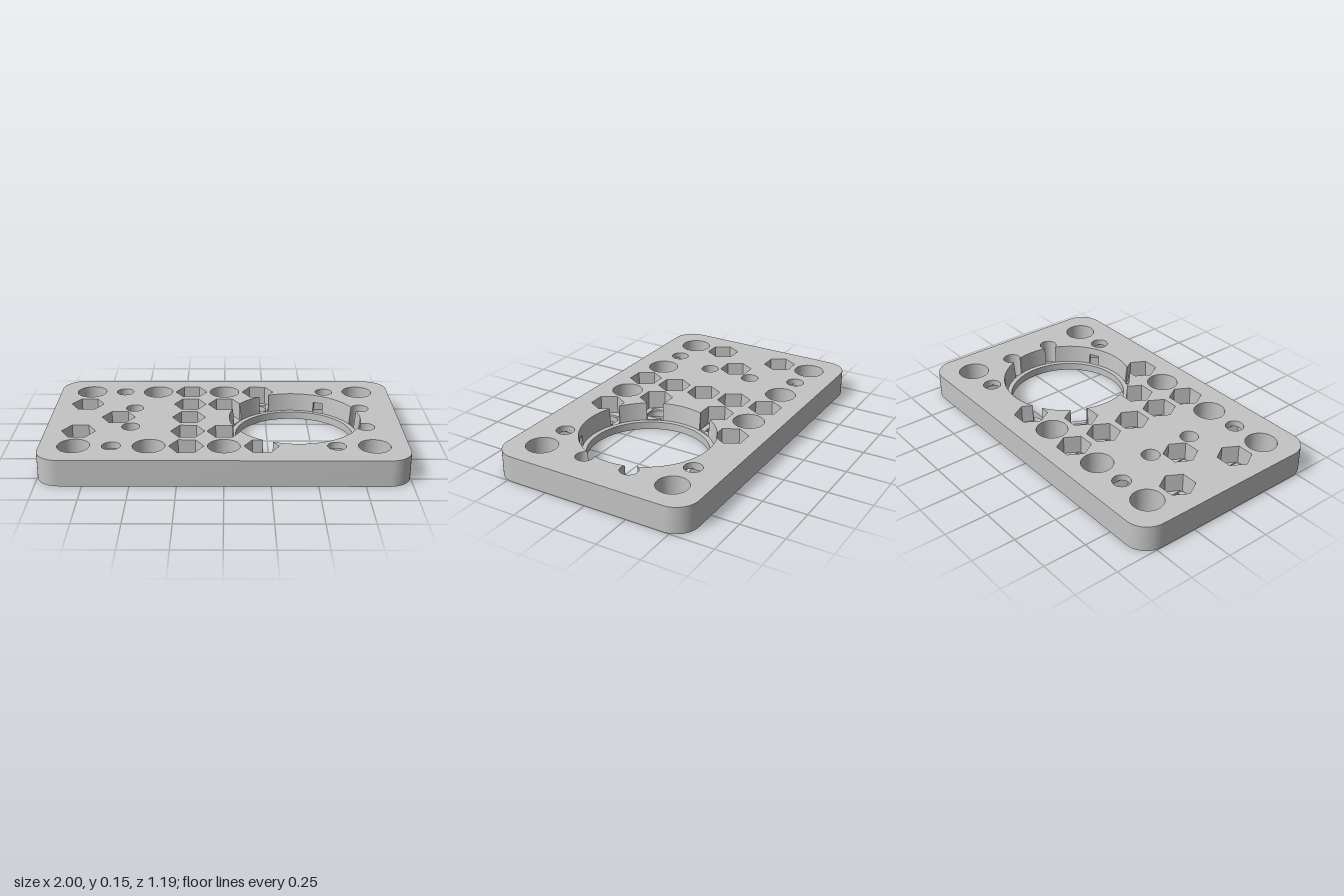
import * as THREE from 'three';
import { mergeGeometries, toCreasedNormals } from 'three/addons/utils/BufferGeometryUtils.js';

const P = 0.203;                       // hole pitch
const TOP = 0.15, FLOOR = 0.045, CEIL = 0.105;
const HALF_Z = 0.593, CORNER = 0.127;
const BORE = [2 * P, 0], R_TOP = 0.377, R_FLOOR = 0.367, R_THROUGH = 0.34;
const HOLE_R = 0.051, BIG_R = 0.088, HEX_R = 0.095, SLOT = 0.052;

// Outlines: counter-clockwise lists of [x, z]
const ngon = ([cx, cz], r, n) => Array.from({ length: n }, (_, i) => {
  const a = (i / n) * Math.PI * 2;
  return [cx + r * Math.cos(a), cz + r * Math.sin(a)];
});
const circle = (c, r = HOLE_R) => ngon(c, r, 48);
const hex = (c) => ngon(c, HEX_R, 6);
const place = ([cx, cz], pts) => pts.map(([x, z]) => [cx + x, cz + z]);
const square = (c) => place(c, [[SLOT, -SLOT], [SLOT, SLOT], [-SLOT, SLOT], [-SLOT, -SLOT]]);
// Hexagon with its two points cut off
const slot = (c) => {
  const h = HEX_R * 0.855, e = 0.073, k = HEX_R / 2 - 0.001;
  return place(c, [[SLOT, -e], [SLOT, e], [k, h], [-k, h], [-SLOT, e], [-SLOT, -e], [-k, -h], [k, -h]]);
};

const boreDist = ([x, z]) => Math.hypot(x - BORE[0], z - BORE[1]);
const inside = ([x, z], poly) => poly.every((a, i) => {
  const b = poly[(i + 1) % poly.length];
  return (b[0] - a[0]) * (z - a[1]) - (b[1] - a[1]) * (x - a[0]) >= 0;
});
const densify = (poly, n) => poly.flatMap((a, i) => {
  const b = poly[(i + 1) % poly.length];
  return Array.from({ length: n }, (_, j) =>
    [a[0] + (b[0] - a[0]) * j / n, a[1] + (b[1] - a[1]) * j / n]);
});

// Union of the bore circle with the convex pockets that break into it
function boreUnion(pockets) {
  const ring = ngon(BORE, R_TOP, 720), out = [];
  const hit = ring.map((p) => pockets.findIndex((q) => inside(p, q)));
  const start = hit.indexOf(-1);
  for (let i = 0; i < ring.length; i++) {
    const k = (start + i) % ring.length, prev = hit[(k + ring.length - 1) % ring.length];
    if (hit[k] < 0) {
      if (k % 4 === 0 || prev >= 0 || hit[(k + 1) % ring.length] >= 0) out.push(ring[k]);
    } else if (prev !== hit[k]) {
      const q = densify(pockets[hit[k]], pockets[hit[k]].length > 6 ? 2 : 40);
      const far = q.map((p) => boreDist(p) > R_TOP + 1e-4);
      const s = far.findIndex((f, j) => f && !far[(j + q.length - 1) % q.length]);
      for (let j = 0; j < q.length && far[(s + j) % q.length]; j++) out.push(q[(s + j) % q.length]);
    }
  }
  return out;
}

// The upper bore narrows slightly towards its floor
function taper(p, y) {
  const d = boreDist(p);
  if (Math.abs(d - R_TOP) > 1e-5) return p;
  const f = (R_FLOOR + (R_TOP - R_FLOOR) * (y - FLOOR) / (TOP - FLOOR)) / d;
  return [BORE[0] + (p[0] - BORE[0]) * f, BORE[1] + (p[1] - BORE[1]) * f];
}

// Vertical wall facing into its outline
function wall(outline, y0, y1, map = (p) => p) {
  const v = [];
  outline.forEach((a, i) => {
    const b = outline[(i + 1) % outline.length];
    const at = (p, y) => { const m = map(p, y); return [m[0], y, m[1]]; };
    const a0 = at(a, y0), b0 = at(b, y0), a1 = at(a, y1), b1 = at(b, y1);
    v.push(...a0, ...b0, ...b1, ...a0, ...b1, ...a1);
  });
  const g = new THREE.BufferGeometry();
  g.setAttribute('position', new THREE.Float32BufferAttribute(v, 3));
  return toCreasedNormals(g, 0.5);
}

// Flat horizontal face with holes, facing up or down
function face(outline, holes, y, up) {
  const s = up ? -1 : 1;
  const vec = (o) => o.map(([x, z]) => new THREE.Vector2(x, z * s));
  const shape = new THREE.Shape(vec(outline));
  shape.holes = holes.map((h) => new THREE.Path(vec(h)));
  const g = new THREE.ShapeGeometry(shape).toNonIndexed();
  g.deleteAttribute('uv');
  return g.rotateX(s * Math.PI / 2).translate(0, y, 0);
}

// Stepped floor from hexagon to slot to square to round hole
function nutSeat(c, y, dir) {
  const levels = [hex(c), slot(c), square(c), circle(c)], parts = [];
  for (let i = 0; i < 3; i++) {
    const h = y - dir * i * 0.005, next = h - dir * 0.005;
    parts.push(face(levels[i], [levels[i + 1]], h, dir > 0));
    if (i < 2) parts.push(wall(levels[i + 1], Math.min(h, next), Math.max(h, next)));
  }
  const end = y - dir * 0.01;
  parts.push(dir > 0 ? wall(levels[3], 0, end) : wall(levels[3], end, TOP));
  return parts;
}

export function createModel() {
  const group = new THREE.Group();
  const grey = new THREE.MeshStandardMaterial({ color: 0xc4c4c4 });
  grey.name = 'plate grey';
  const add = (name, parts) => {
    const mesh = new THREE.Mesh(mergeGeometries(parts), grey);
    mesh.name = name;
    group.add(mesh);
  };
  const grid = (list) => list.map(([x, z]) => [x * P, z * P]);

  // Hole layout
  const big = grid([-4, -2, 0, 4].flatMap((x) => [[x, -2], [x, 2]]));
  const topNutsFree = grid([[-4, -1], [-4, 1], [-3, 0], ...[-2, -1, 0, 1, 2].map((z) => [-1, z])]);
  const topNutsBore = grid([[0, -1], [0, 1], [1, -2], [1, 2]]);
  const lowNutsFree = grid([[-3, -2], [-3, 2]]);
  const lowNutsBore = grid([[3, -2], [3, 2]]);
  const plainFree = [[-0.527, -0.139], [-0.527, 0.139]];
  const plainBore = [[0.797, -0.139], [0.797, 0.139]];
  const topNuts = [...topNutsFree, ...topNutsBore], lowNuts = [...lowNutsFree, ...lowNutsBore];

  // Rounded rectangle
  const outline = [[1, 1], [-1, 1], [-1, -1], [1, -1]].flatMap(([sx, sz], q) =>
    Array.from({ length: 13 }, (_, i) => {
      const a = (q + i / 12) * Math.PI / 2;
      return [sx * (1 - CORNER) + CORNER * Math.cos(a), sz * (HALF_Z - CORNER) + CORNER * Math.sin(a)];
    }));

  const breaks = [...topNutsBore.map(hex), ...plainBore.map((c) => circle(c))];
  const upper = boreUnion(breaks);
  const middle = boreUnion([...breaks, ...lowNutsBore.map(hex)]);
  const bigHoles = big.map((c) => circle(c, BIG_R));
  const round = (list) => list.map((c) => circle(c));

  add('plateSide', [wall([...outline].reverse(), 0, TOP)]);
  add('plateTop', [face(outline,
    [upper, ...bigHoles, ...topNutsFree.map(hex), ...round([...lowNuts, ...plainFree])], TOP, true)]);
  add('plateBottom', [face(outline,
    [circle(BORE, R_THROUGH).length && ngon(BORE, R_THROUGH, 180), ...bigHoles, ...lowNuts.map(hex),
      ...round([...topNuts, ...plainFree, ...plainBore])], 0, false)]);

  // Large stepped bore
  add('bearingBore', [
    wall(upper, CEIL, TOP, taper),
    wall(middle, FLOOR, CEIL, taper),
    wall(ngon(BORE, R_THROUGH, 180), 0, FLOOR),
    face(ngon(BORE, R_FLOOR, 180), [ngon(BORE, R_THROUGH, 180)], FLOOR, true),
  ]);

  // Round holes
  add('largeHoles', bigHoles.map((h) => wall(h, 0, TOP)));
  add('smallHoles', [
    ...round(plainFree).map((h) => wall(h, 0, TOP)),
    ...round(plainBore).map((h) => wall(h, 0, FLOOR)),
  ]);

  // Hexagonal nut pockets, opening upwards and downwards
  add('topNutPockets', [
    ...topNutsFree.map((c) => wall(hex(c), FLOOR, TOP)),
    ...topNuts.flatMap((c) => nutSeat(c, FLOOR, 1)),
  ]);
  add('bottomNutPockets', [
    ...lowNutsFree.map((c) => wall(hex(c), 0, CEIL)),
    ...lowNutsBore.map((c) => wall(hex(c), 0, FLOOR)),
    ...lowNuts.flatMap((c) => nutSeat(c, CEIL, -1)),
  ]);
  return group;
}
